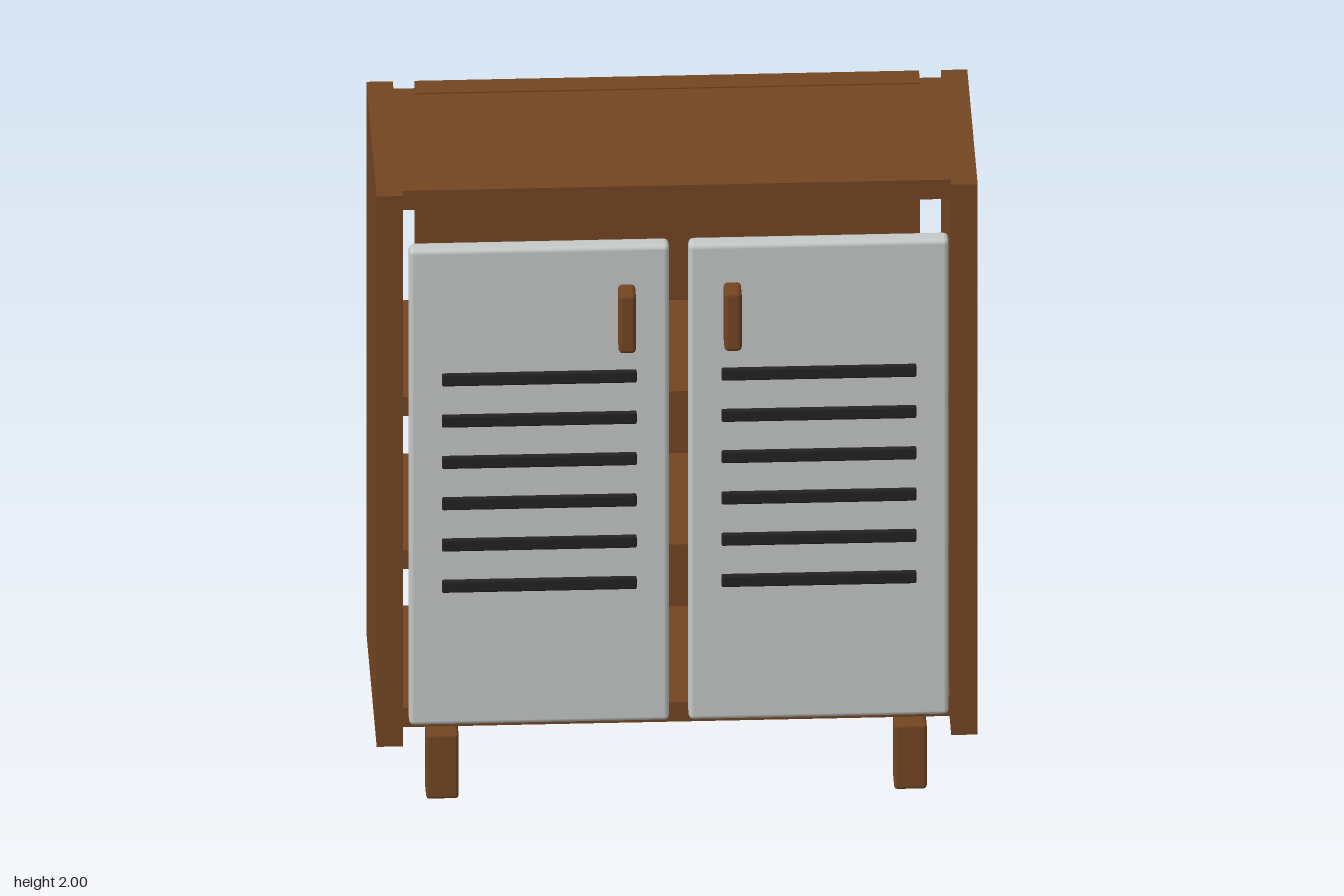
import * as THREE from 'three';
import { RoundedBoxGeometry } from 'three/addons/geometries/RoundedBoxGeometry.js';

export function createModel() {
  const model = new THREE.Group();
  model.name = 'cabinet';

  const material = (name, color) => {
    const m = new THREE.MeshStandardMaterial({ color });
    m.name = name;
    return m;
  };
  const wood = material('brown wood', 0x734522);
  const paint = material('pale grey paint', 0xc5c9c7);
  const black = material('black slat', 0x232323);

  // Box given by its extents on each axis, with optionally rounded edges
  function block(name, mat, [x0, x1], [y0, y1], [z0, z1], radius = 0) {
    const size = [x1 - x0, y1 - y0, z1 - z0];
    const geometry = radius
      ? new RoundedBoxGeometry(...size, 2, radius)
      : new THREE.BoxGeometry(...size);
    const mesh = new THREE.Mesh(geometry, mat);
    mesh.name = name;
    mesh.position.set((x0 + x1) / 2, (y0 + y1) / 2, (z0 + z1) / 2);
    model.add(mesh);
  }

  // Extents mirrored to the chosen side
  const mirror = (side, a, b) => (side > 0 ? [a, b] : [-b, -a]);

  // Carcass: back, top, bottom and two shelves
  block('backPanel', wood, [-0.725, 0.725], [0.2, 2], [-0.452, -0.378]);
  block('topPanel', wood, [-0.79, 0.79], [1.933, 1.996], [-0.415, 0.2]);
  block('bottomPanel', wood, [-0.79, 0.79], [0.242, 0.305], [-0.415, 0.2]);
  block('upperShelf', wood, [-0.785, 0.785], [1.243, 1.306], [-0.41, 0.17]);
  block('lowerShelf', wood, [-0.785, 0.785], [0.743, 0.805], [-0.41, 0.17]);

  for (const side of [1, -1]) {
    const prefix = side > 0 ? 'left' : 'right';
    block(prefix + 'SidePanel', wood, mirror(side, 0.788, 0.864), [0.2, 2], [-0.452, 0.238]);

    // Legs
    block(prefix + 'FrontLeg', wood, mirror(side, 0.626, 0.72), [0, 0.212], [0.1, 0.195], 0.01);
    block(prefix + 'BackLeg', wood, mirror(side, 0.626, 0.72), [0, 0.212], [-0.402, -0.307], 0.01);

    // Door with slats and a handle
    block(prefix + 'Door', paint, mirror(side, 0.028, 0.776), [0.333, 1.888], [0.308, 0.364], 0.015);
    for (let i = 0; i < 6; i++) {
      const y = 0.792 + i * 0.135;
      block(prefix + 'Slat' + (i + 1), black, mirror(side, 0.122, 0.682),
        [y - 0.019, y + 0.019], [0.355, 0.377], 0.005);
    }
    block(prefix + 'Handle', wood, mirror(side, 0.127, 0.177), [1.583, 1.775], [0.375, 0.452], 0.012);
  }
  return model;
}
